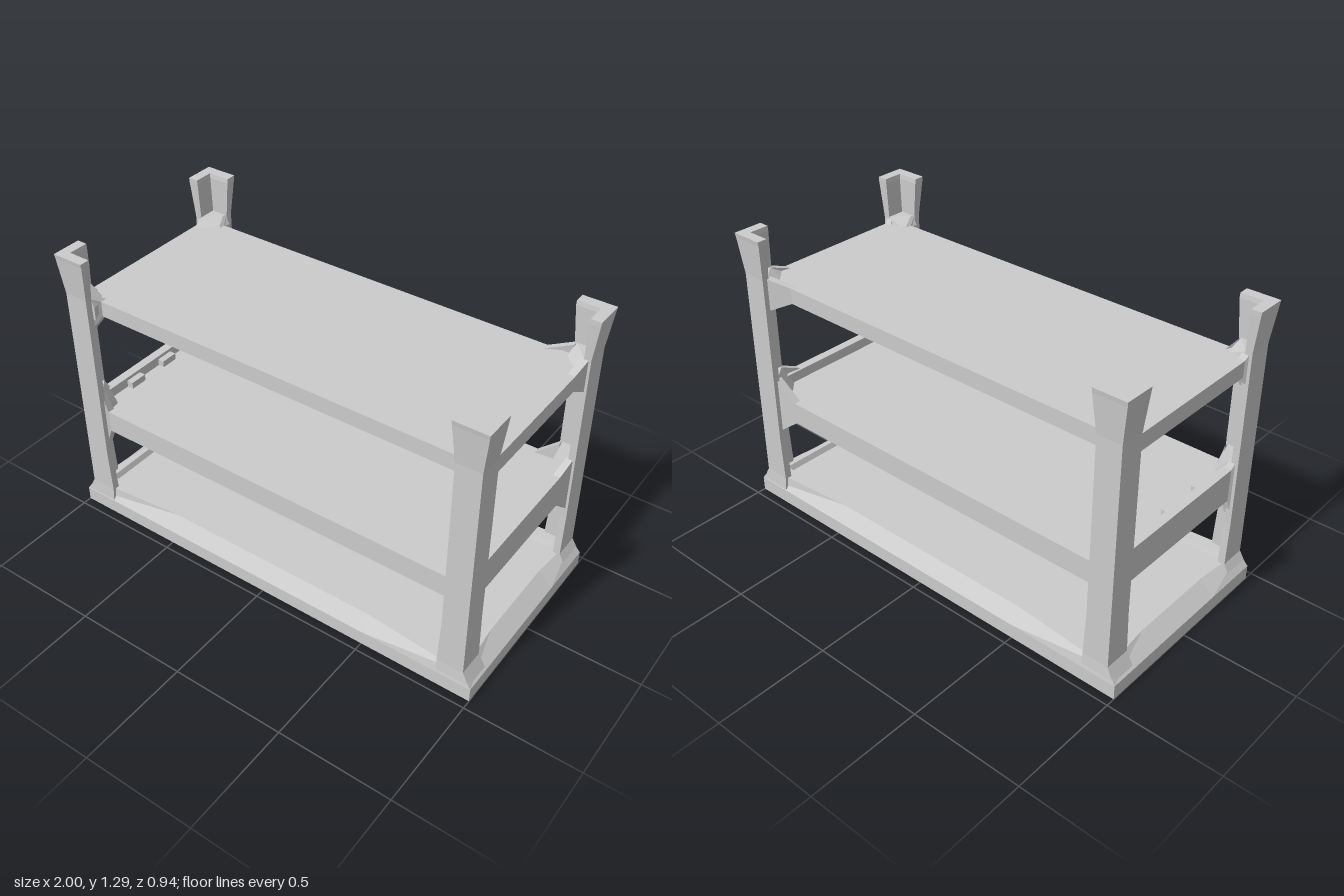
import * as THREE from 'three';
import { ConvexGeometry } from 'three/addons/geometries/ConvexGeometry.js';

const material = new THREE.MeshStandardMaterial({ color: 0xcccccc, flatShading: true });

// Skin a stack of rings (counter-clockwise from above) and cap both ends.
function loft(rings) {
  const n = rings[0].length, index = [];
  for (let r = 0; r < rings.length - 1; r++) {
    for (let i = 0; i < n; i++) {
      const a = r * n + i, b = r * n + (i + 1) % n;
      index.push(a, b, b + n, a, b + n, a + n);
    }
  }
  const top = (rings.length - 1) * n;
  for (let i = 1; i < n - 1; i++) {
    index.push(0, i + 1, i, top, top + i, top + i + 1);
  }
  const geometry = new THREE.BufferGeometry();
  geometry.setAttribute('position', new THREE.Float32BufferAttribute(rings.flat(2), 3));
  geometry.setIndex(index);
  const flat = geometry.toNonIndexed();
  flat.computeVertexNormals();
  return flat;
}

export function createModel() {
  const model = new THREE.Group();
  model.name = 'shelfRack';

  const add = (name, geometry) => {
    const mesh = new THREE.Mesh(geometry, material);
    mesh.name = name;
    model.add(mesh);
  };
  const box = (name, x0, x1, y0, y1, z0, z1) => {
    const g = new THREE.BoxGeometry(x1 - x0, y1 - y0, z1 - z0);
    add(name, g.translate((x0 + x1) / 2, (y0 + y1) / 2, (z0 + z1) / 2));
  };
  const hull = (name, points) =>
    add(name, new ConvexGeometry(points.map((p) => new THREE.Vector3(...p))));

  // Base tray with a shallow recess; its bevel is wider between the corners.
  // Height, corner x and z, then x and z along the middle of each side
  const baseProfile = [
    [0, 1, 0.46, 1, 0.46], [0.065, 1, 0.46, 1, 0.46], [0.125, 0.957, 0.45, 0.935, 0.412],
    [0.125, 0.91, 0.385, 0.91, 0.385], [0.1, 0.9, 0.375, 0.9, 0.375],
  ];
  add('base', loft(baseProfile.map(([y, cx, cz, mx, mz]) => [
    [cx, cz], [mx, 0.2], [mx, -0.2], [cx, -cz], [0.5, -mz], [-0.5, -mz],
    [-cx, -cz], [-mx, -0.2], [-mx, 0.2], [-cx, cz], [-0.5, mz], [0.5, mz],
  ].map(([x, z]) => [x, y, z]))));

  // Angle-section posts: height, outer x, outer z, inner x, inner z, wall
  const postLevels = [
    [0.06, 0.998, 0.459, 0.843, 0.334, 0.06],
    [0.13, 0.96, 0.454, 0.843, 0.335, 0.032],
    [0.33, 0.96, 0.454, 0.852, 0.343, 0.03],
    [1.11, 0.96, 0.454, 0.852, 0.343, 0.03],
    [1.27, 0.978, 0.467, 0.836, 0.337, 0.045],
    [1.29, 0.98, 0.47, 0.836, 0.337, 0.045],
  ];
  // Shelf tiers: rail bottom, shelf top, panel bottom, half depth,
  // side rail top and inner x, gusset range
  const tiers = [
    { name: 'middle', y0: 0.445, y1: 0.545, panel: 0.51, depth: 0.425,
      side: 0.59, inner: 0.9, low: 0.37, high: 0.63 },
    { name: 'top', y0: 1.01, y1: 1.08, panel: 1.05, depth: 0.387,
      side: 1.08, inner: 0.86, low: 0.96, high: 1.11 },
  ];

  for (const sx of [-1, 1]) {
    for (const sz of [-1, 1]) {
      add('post', loft(postLevels.map(([y, ox, oz, ix, iz, t]) => {
        const ring = [[ox, oz], [ix, oz], [ix, oz - t], [ox - t, oz - t], [ox - t, iz], [ox, iz]]
          .map(([x, z]) => [x * sx, y, z * sz]);
        return sx * sz > 0 ? [ring[0], ...ring.slice(1).reverse()] : ring;
      })));

      for (const t of tiers) {
        // Tapered gussets joining the rails to the post, long on one corner only
        const long = sx > 0 && sz < 0;
        const xEnd = long ? 0.76 : 0.838;
        const zEnd = long ? 0.26 : 0.33;
        const along = [], across = [];
        for (const d of [0, 0.03]) {
          const z = t.depth - 0.03 + d;
          along.push([0.86, t.low, 0.405 + d], [0.86, t.high, 0.405 + d], [xEnd, t.y0, z], [xEnd, t.y1, z]);
        }
        for (const x of [0.92, 0.95]) {
          across.push([x, t.low, 0.35], [x, t.high, 0.35], [x - 0.01, t.y0, zEnd], [x - 0.01, t.side, zEnd]);
        }
        const place = ([x, y, z]) => [x * sx, y, z * sz];
        hull(t.name + 'RailGusset', along.map(place));
        hull(t.name + 'SideGusset', across.map(place));
        // Sloped fillet in the inner corner, seated on the shelf
        const reach = sz < 0 ? 0.27 : 0.335;
        hull(t.name + 'CornerFillet', [
          [0.93, t.y0, 0.425], [0.84, t.y0, 0.425], [0.93, t.y0, reach],
          [0.84, t.y1 - 0.01, 0.425], [0.86, t.high, 0.425],
          [0.93, t.high, 0.425], [0.93, t.high, 0.345],
          [0.93, t.y1 - 0.01, reach], [0.85, t.y1 - 0.01, 0.35],
        ].map(place));
      }
    }
  }

  for (const t of tiers) {
    // Flat shelf with rails hanging below its long edges
    box(t.name + 'Panel', -0.93, 0.93, t.panel, t.y1, -t.depth, t.depth);
    for (const s of [-1, 1]) {
      const z = [s * (t.depth - 0.04), s * t.depth].sort((a, b) => a - b);
      const x = [s * t.inner, s * 0.94].sort((a, b) => a - b);
      box(t.name + 'Rail', -0.93, 0.93, t.y0, t.panel, ...z);
      box(t.name + 'SideRail', ...x, t.y0 - 0.002, t.side, -0.38, 0.38);
    }
  }

  // Cross beams under the middle shelf
  for (const x of [-0.3, 0.4]) {
    box('crossBeam', x - 0.05, x + 0.05, 0.447, 0.515, -0.4, 0.4);
  }

  // Small cleats along the inside of one side rail
  for (const z of [-0.2, 0, 0.2]) {
    box('cleat', -0.905, -0.87, 0.54, 0.575, z - 0.04, z + 0.04);
  }

  return model;
}
